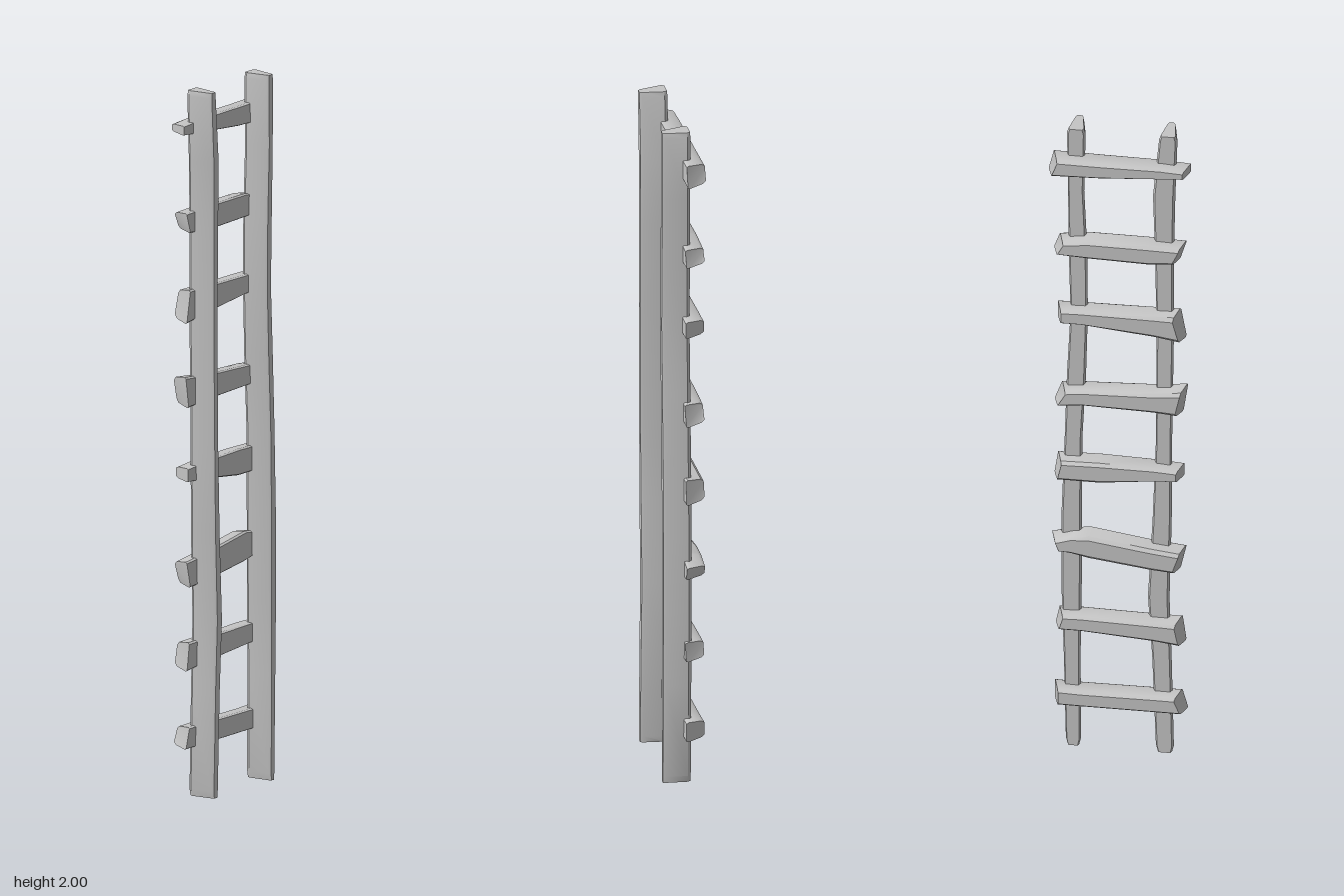
import * as THREE from 'three';
import { toCreasedNormals } from 'three/addons/utils/BufferGeometryUtils.js';

// Skin a run of equal-length rings and close both ends.
function loft(rings, crease) {
  const n = rings[0].length;
  const index = [];
  for (let j = 0; j < rings.length - 1; j++) {
    for (let i = 0; i < n; i++) {
      const a = j * n + i, b = j * n + (i + 1) % n;
      index.push(a, b, a + n, b, b + n, a + n);
    }
  }
  const last = (rings.length - 1) * n;
  for (let i = 1; i < n - 1; i++) {
    index.push(0, i + 1, i, last, last + i, last + i + 1);
  }
  const geometry = new THREE.BufferGeometry();
  geometry.setAttribute('position', new THREE.Float32BufferAttribute(rings.flat(2), 3));
  geometry.setIndex(index);
  return toCreasedNormals(geometry, crease);
}

// Rail section: [position across the width 0..1, z], wide at the back, narrow in front.
const RAIL_SECTION = [
  [1, -0.012], [0.9, -0.021], [0.1, -0.021], [0, -0.012],
  [0.25, 0.048], [0.33, 0.055], [0.67, 0.055], [0.75, 0.048],
];

// Stations are [y, left edge, right edge].
function railGeometry(stations) {
  return loft(stations.map(([y, x0, x1]) =>
    RAIL_SECTION.map(([t, z]) => [x0 + (x1 - x0) * t, y, z])), 0.6);
}

// Rung section: [side (1 top, -1 bottom), inset as part of half height, z].
const RUNG_SECTION = [
  [1, 0.4, -0.055], [1, 0.16, -0.046], [1, 0, -0.006], [1, 0.1, 0],
  [-1, 0.1, 0], [-1, 0, -0.006], [-1, 0.16, -0.046], [-1, 0.4, -0.055],
];

// Stations are [x, top, bottom, lean]; lean shifts the top edge against the bottom edge.
function rungGeometry(stations) {
  return loft(stations.map(([x, top, bottom, lean = 0], k) => {
    const end = k === 0 ? 1 : k === stations.length - 1 ? -1 : 0;
    const mid = (top + bottom) / 2, half = (top - bottom) / 2;
    return RUNG_SECTION.map(([side, inset, z]) =>
      [x + side * lean / 2 - end * z * 0.3, mid + side * half * (1 - inset), z]);
  }), 0.6);
}

const RAILS = {
  rightRail: [
    [0, -0.147, -0.107], [0.02, -0.152, -0.102], [0.3, -0.146, -0.092], [0.5, -0.14, -0.08],
    [0.75, -0.146, -0.093], [1, -0.147, -0.102], [1.35, -0.152, -0.104], [1.6, -0.152, -0.1],
    [1.8, -0.156, -0.094], [1.985, -0.162, -0.111], [2, -0.157, -0.116],
  ],
  leftRail: [
    [0, 0.111, 0.143], [0.02, 0.106, 0.148], [0.3, 0.107, 0.154], [0.5, 0.104, 0.16],
    [0.75, 0.103, 0.16], [1, 0.102, 0.151], [1.2, 0.092, 0.145], [1.4, 0.087, 0.135],
    [1.6, 0.088, 0.14], [1.8, 0.097, 0.142], [1.985, 0.093, 0.145], [2, 0.098, 0.14],
  ],
};

const RUNGS = [
  [[-0.182, 0.2, 0.14, 0.015], [-0.1, 0.2, 0.14], [0.1, 0.198, 0.14], [0.18, 0.2, 0.14]],
  [[-0.18, 0.44, 0.36, 0.01], [-0.1, 0.44, 0.37], [0.1, 0.442, 0.385], [0.172, 0.44, 0.385, -0.01]],
  [[-0.178, 0.67, 0.595, -0.015], [-0.09, 0.68, 0.6], [0.08, 0.706, 0.622], [0.13, 0.698, 0.635], [0.183, 0.68, 0.64, 0.01]],
  [[-0.18, 0.934, 0.896], [-0.1, 0.94, 0.89], [0.05, 0.945, 0.87], [0.176, 0.942, 0.87, -0.01]],
  [[-0.184, 1.195, 1.105, -0.012], [-0.1, 1.185, 1.112], [0.1, 1.175, 1.118], [0.17, 1.17, 1.11, -0.02]],
  [[-0.178, 1.438, 1.345, 0.015], [-0.1, 1.436, 1.358], [0.1, 1.432, 1.38], [0.172, 1.43, 1.38]],
  [[-0.178, 1.658, 1.6, -0.016], [-0.08, 1.662, 1.592], [0.08, 1.662, 1.596], [0.174, 1.65, 1.602, -0.016]],
  [[-0.198, 1.908, 1.882], [-0.12, 1.914, 1.875], [0.05, 1.916, 1.86], [0.19, 1.918, 1.855, -0.014]],
];

export function createModel() {
  const wood = new THREE.MeshStandardMaterial({ color: 0xc4c4c4 });
  wood.name = 'pale grey wood';
  const ladder = new THREE.Group();
  ladder.name = 'ladder';

  const add = (name, geometry) => {
    const mesh = new THREE.Mesh(geometry, wood);
    mesh.name = name;
    ladder.add(mesh);
  };

  // Two wavy uprights
  for (const [name, stations] of Object.entries(RAILS)) add(name, railGeometry(stations));

  // Uneven rungs fixed to the back, from bottom to top
  RUNGS.forEach((stations, i) => add(`rung${i + 1}`, rungGeometry(stations)));

  return ladder;
}
